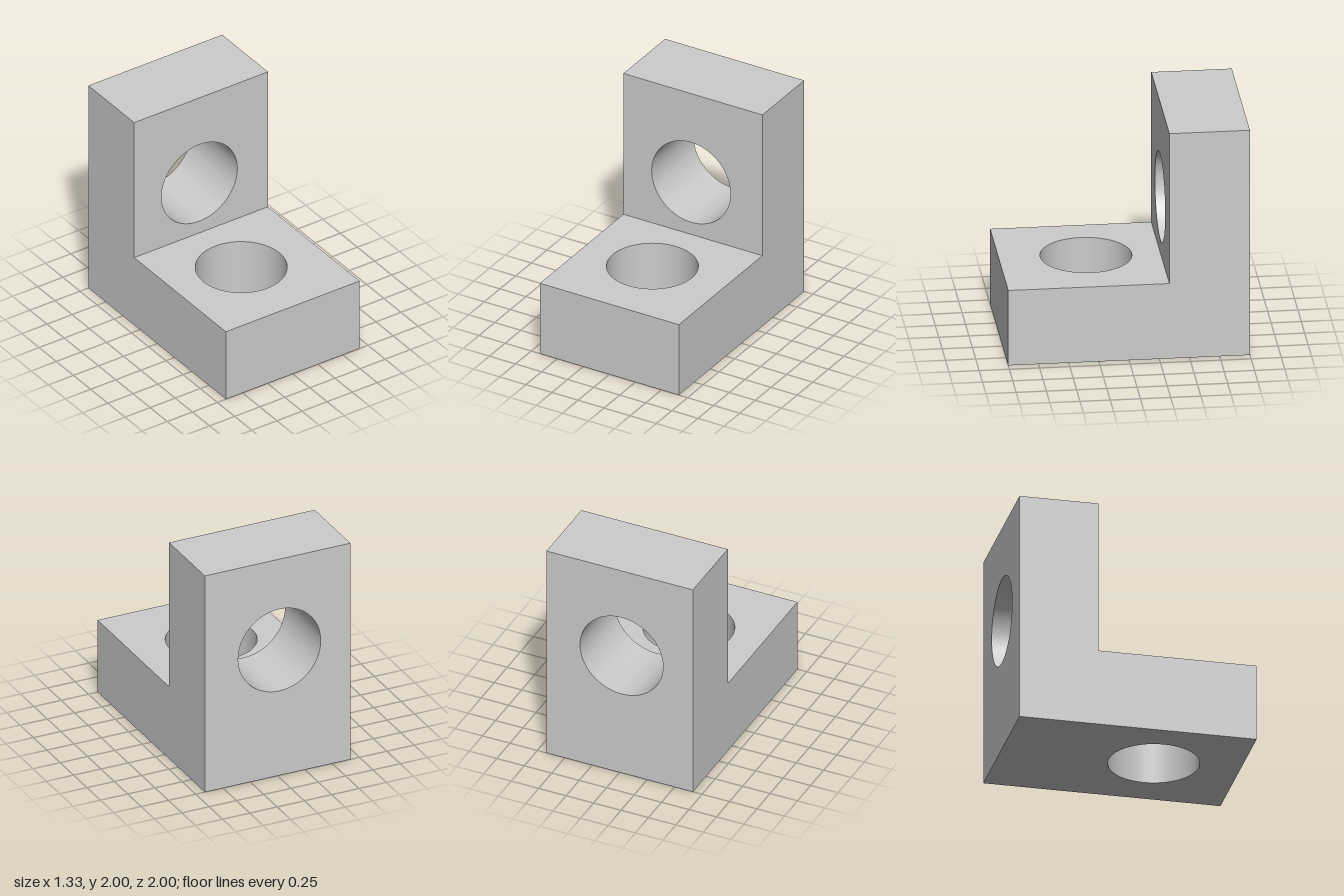
import * as THREE from 'three';

const W = 4 / 3, T = 2 / 3, R = 0.378; // width, plate thickness, bore radius
const material = new THREE.MeshStandardMaterial({ color: 0xcccccc });
const boreMaterial = new THREE.MeshStandardMaterial({ color: 0xcccccc, side: THREE.DoubleSide });

export function createModel() {
  const group = new THREE.Group();

  function add(name, geometry, position, rotation = [0, 0, 0], mat = material) {
    const mesh = new THREE.Mesh(geometry, mat);
    mesh.name = name;
    mesh.position.set(...position);
    mesh.rotation.set(...rotation);
    group.add(mesh);
  }

  // Flat rectangular face, with an optional round opening at [x, y] from its centre
  function panel(name, height, position, rotation, hole) {
    const w = W / 2, h = height / 2;
    const shape = new THREE.Shape([[-w, -h], [w, -h], [w, h], [-w, h]].map(p => new THREE.Vector2(...p)));
    if (hole) shape.holes.push(new THREE.Path().absarc(hole[0], hole[1], R, 0, Math.PI * 2, true));
    add(name, new THREE.ShapeGeometry(shape, 64), position, rotation);
  }

  const q = Math.PI / 2;
  const upX = -0.017, upY = 1.16;     // upright bore axis
  const baseX = -0.02, baseZ = 0.28;  // base bore axis

  // Base plate faces
  panel('baseTop', W, [0, T, 1 / 3], [-q, 0, 0], [baseX, 1 / 3 - baseZ]);
  panel('baseBottom', 2, [0, 0, 0], [q, 0, 0], [baseX, baseZ]);
  panel('baseFront', T, [0, T / 2, 1], [0, 0, 0]);

  // Upright plate faces
  panel('uprightFront', W, [0, W, -1 / 3], [0, 0, 0], [upX, upY - W]);
  panel('uprightBack', 2, [0, 1, -1], [0, Math.PI, 0], [-upX, upY - 1]);
  panel('uprightTop', T, [0, 2, -T], [-q, 0, 0]);

  // L-shaped sides, mirrored
  const profile = [[-1, 0], [1, 0], [1, T], [-1 / 3, T], [-1 / 3, 2], [-1, 2]]; // z, y
  for (const s of [1, -1]) {
    const shape = new THREE.Shape(profile.map(([z, y]) => new THREE.Vector2(-s * z, y)));
    add(s > 0 ? 'leftSide' : 'rightSide', new THREE.ShapeGeometry(shape), [s * W / 2, 0, 0], [0, s * q, 0]);
  }

  // Smooth bore walls
  const bore = new THREE.CylinderGeometry(R, R, T, 128, 1, true);
  add('baseBore', bore, [baseX, T / 2, baseZ], [0, 0, 0], boreMaterial);
  add('uprightBore', bore, [upX, upY, -T], [q, 0, 0], boreMaterial);

  return group;
}
